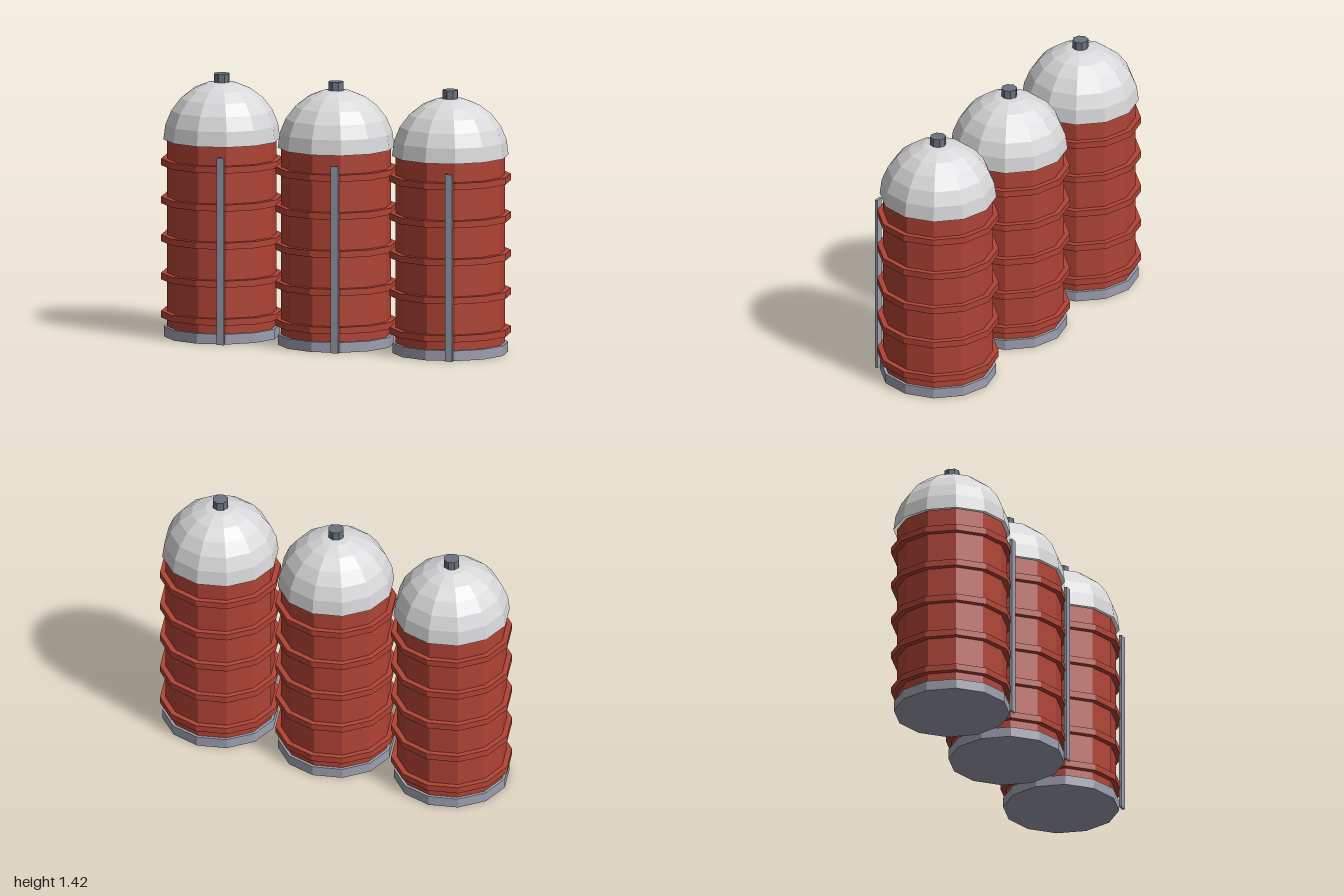
import * as THREE from 'three';

const SIDES = 12;

function flat(name, color, side = THREE.FrontSide) {
  const m = new THREE.MeshStandardMaterial({ color, flatShading: true, side });
  m.name = name;
  return m;
}

export function createModel() {
  const red = flat('barn red', 0xb04335);
  const steel = flat('steel grey', 0x9ca0ae);
  const dark = flat('dark grey', 0x6b7280);
  const pale = flat('pale grey', 0xd8d8da, THREE.DoubleSide);

  const add = (parent, name, geometry, material, x, y, z) => {
    const mesh = new THREE.Mesh(geometry, material);
    mesh.name = name;
    mesh.position.set(x, y, z);
    parent.add(mesh);
  };
  // Upright faceted drum between two heights
  const drum = (parent, name, r, y0, y1, material, sides = SIDES) =>
    add(parent, name, new THREE.CylinderGeometry(r, r, y1 - y0, sides), material, 0, (y0 + y1) / 2, 0);

  const model = new THREE.Group();
  model.name = 'silos';

  for (const x of [-0.675, 0, 0.675]) {
    const silo = new THREE.Group();
    silo.name = 'silo';
    silo.position.x = x;
    model.add(silo);

    drum(silo, 'base', 0.311, 0, 0.055, steel);
    drum(silo, 'body', 0.295, 0.01, 1.068, red);

    // Five reinforcing hoops
    for (let i = 0; i < 5; i++) {
      const y = 0.121 + i * 0.206;
      drum(silo, 'hoop', 0.325, y - 0.018, y + 0.018, red);
    }

    // Open hemispherical roof with a cap vent
    add(silo, 'dome', new THREE.SphereGeometry(0.313, SIDES, 6, 0, Math.PI * 2, 0, Math.PI / 2),
      pale, 0, 1.066, 0);
    drum(silo, 'vent', 0.043, 1.35, 1.42, dark, 8);

    // Ladder strip on the front
    add(silo, 'ladder', new THREE.BoxGeometry(0.042, 1.012, 0.015), steel, 0.132, 0.506, 0.2965);
  }
  return model;
}
